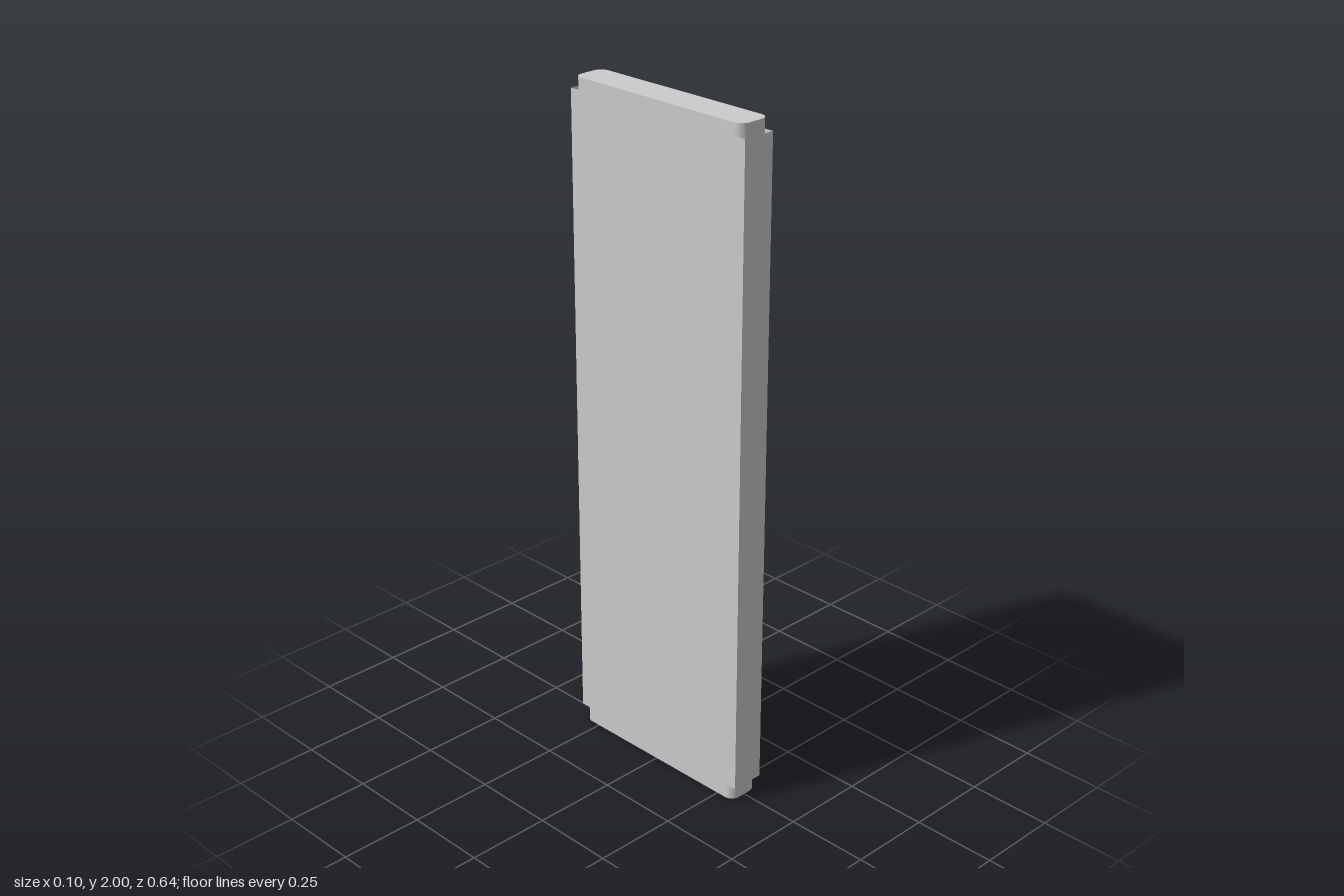
import * as THREE from 'three';

export function createModel() {
  const model = new THREE.Group();
  const material = new THREE.MeshStandardMaterial({ color: 0xcccccc, side: THREE.DoubleSide });
  const add = (name, geometry, x = 0, y = 0, z = 0) => {
    const mesh = new THREE.Mesh(geometry, material);
    mesh.name = name;
    mesh.position.set(x, y, z);
    model.add(mesh);
    return mesh;
  };

  // Full-height core with rounded corners; its ends form the top and bottom tongues
  const w = 0.05, d = 0.308, r = 0.028;
  const outline = new THREE.Shape();
  outline.moveTo(w, -d + r);
  outline.absarc(w - r, d - r, r, 0, Math.PI / 2);
  outline.absarc(-w + r, d - r, r, Math.PI / 2, Math.PI);
  outline.absarc(-w + r, -d + r, r, Math.PI, Math.PI * 1.5);
  outline.absarc(w - r, -d + r, r, Math.PI * 1.5, Math.PI * 2);
  const core = new THREE.ExtrudeGeometry(outline, { depth: 2, bevelEnabled: false, curveSegments: 8 });
  core.rotateX(-Math.PI / 2);
  add('core', core);

  // Square sleeve around the core, open at both ends
  const bottom = 0.046, top = 1.965, halfX = 0.0505, halfZ = 0.32;
  const height = top - bottom, midY = (top + bottom) / 2;
  for (const s of [1, -1]) {
    const side = s > 0 ? 'left' : 'right';
    add(side + 'Face', new THREE.PlaneGeometry(halfZ * 2, height), s * halfX, midY, 0)
      .rotation.y = s * Math.PI / 2;
    add(s > 0 ? 'frontEdge' : 'backEdge', new THREE.PlaneGeometry(halfX * 2, height), 0, midY, s * halfZ)
      .rotation.y = s > 0 ? 0 : Math.PI;
    // Thin plate on the bottom tongue
    add(side + 'FootPlate', new THREE.PlaneGeometry(0.514, bottom), s * 0.0503, bottom / 2, 0)
      .rotation.y = s * Math.PI / 2;
  }
  return model;
}
